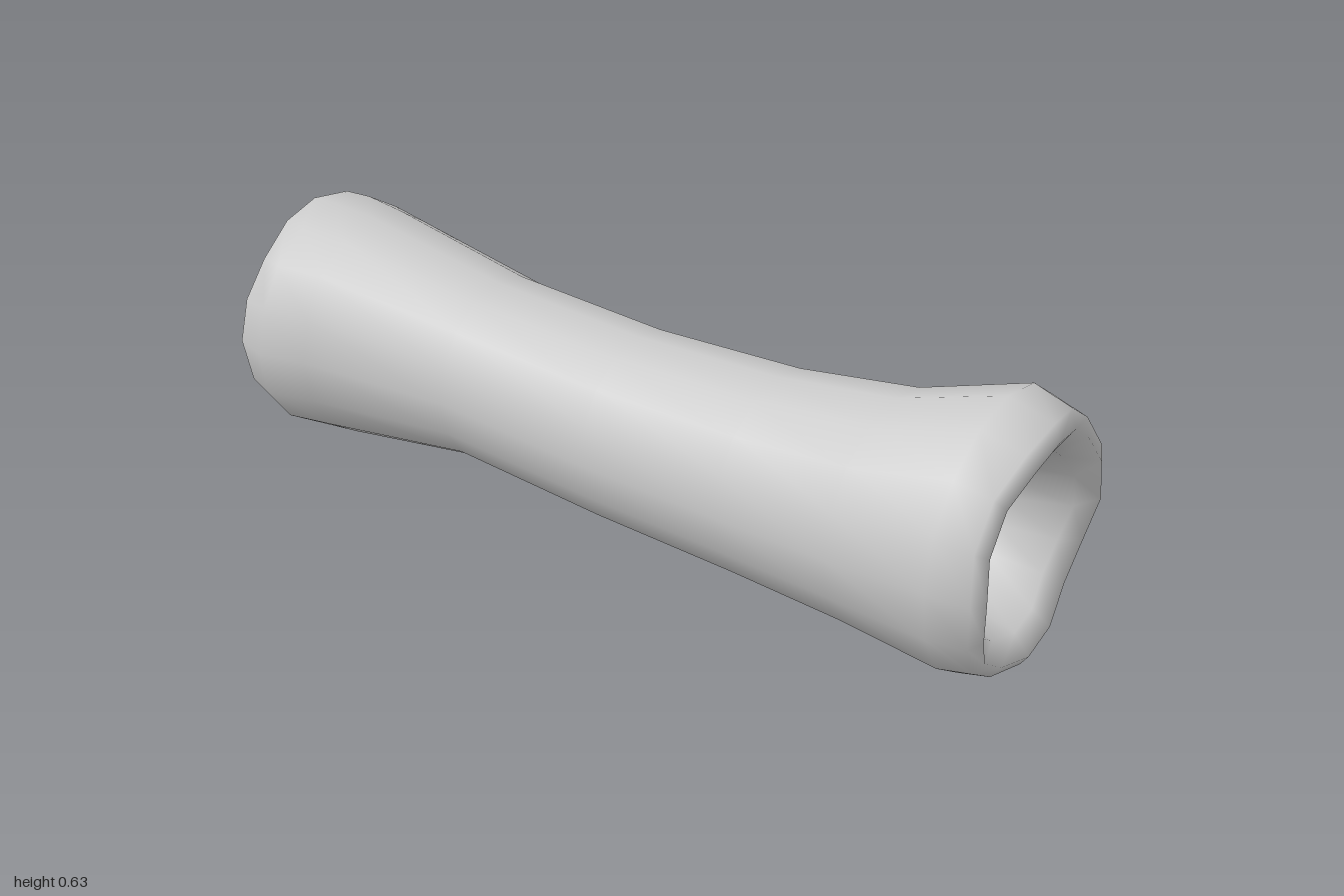
import * as THREE from 'three';

const SIDES = 16;

// Outer skin rings, front to back: z, left x, right x, bottom y, top y
const OUTER = [
  [0.965, -0.265, 0.285, 0.03, 0.605],
  [0.88, -0.28, 0.297, 0.012, 0.632],
  [0.64, -0.255, 0.245, 0.036, 0.55],
  [0.36, -0.232, 0.215, 0.04, 0.507],
  [0, -0.225, 0.197, 0.046, 0.49],
  [-0.4, -0.222, 0.203, 0.066, 0.5],
  [-0.78, -0.272, 0.245, 0.008, 0.56],
  [-0.9, -0.3, 0.28, 0, 0.562],
  [-0.965, -0.285, 0.27, 0.018, 0.557],
];

// Rim crest and marrow canal rings, back to front
const INNER = [
  [-0.985, -0.235, 0.225, 0.065, 0.51],
  [-0.955, -0.19, 0.18, 0.11, 0.465],
  [-0.82, -0.155, 0.15, 0.14, 0.43],
  [-0.45, -0.115, 0.12, 0.175, 0.395],
  [0, -0.085, 0.09, 0.195, 0.37],
  [0.45, -0.12, 0.12, 0.175, 0.41],
  [0.82, -0.155, 0.155, 0.14, 0.46],
  [0.95, -0.19, 0.195, 0.105, 0.515],
  [0.985, -0.235, 0.245, 0.06, 0.57],
];

// Uneven knuckle outline, strongest at the two ends
function lump(angle, z) {
  const end = Math.min(1, Math.abs(z)) ** 2;
  const side = z > 0 ? 0 : 1.3;
  return 1.01 + end * (0.018 * Math.sin(3 * angle + 0.6 + side) + 0.014 * Math.cos(5 * angle + side))
    - end * 0.045 * Math.exp(-(((angle - 2.45) / 0.35) ** 2));
}

// Closed loft: the ring list wraps round so skin, rims and canal are one surface
function loopLoft(rings) {
  const positions = [];
  const index = [];
  for (const [z, x0, x1, y0, y1] of rings) {
    for (let i = 0; i < SIDES; i++) {
      const a = (i / SIDES) * Math.PI * 2;
      const k = lump(a, z);
      const wave = Math.abs(z) > 0.93 ? 0.01 * Math.sin(4 * a + z) + (z > 0 ? 0.01 * Math.sin(a) : 0) : 0;
      positions.push(
        (x0 + x1) / 2 + ((x1 - x0) / 2) * Math.cos(a) * k,
        Math.max(0, (y0 + y1) / 2 + ((y1 - y0) / 2) * Math.sin(a) * k),
        THREE.MathUtils.clamp(z + wave, -1, 1),
      );
    }
  }
  const n = rings.length;
  for (let r = 0; r < n; r++) {
    const s = (r + 1) % n;
    for (let i = 0; i < SIDES; i++) {
      const j = (i + 1) % SIDES;
      const a = r * SIDES + i, b = r * SIDES + j;
      const c = s * SIDES + i, d = s * SIDES + j;
      index.push(a, c, b, b, c, d);
    }
  }
  const geometry = new THREE.BufferGeometry();
  geometry.setAttribute('position', new THREE.Float32BufferAttribute(positions, 3));
  geometry.setIndex(index);
  geometry.computeVertexNormals();
  return geometry;
}

export function createModel() {
  const group = new THREE.Group();
  group.name = 'hollowBone';
  const material = new THREE.MeshStandardMaterial({ color: 0xcccccc });
  const shaft = new THREE.Mesh(loopLoft([...OUTER, ...INNER]), material);
  shaft.name = 'boneShaft';
  group.add(shaft);
  return group;
}
